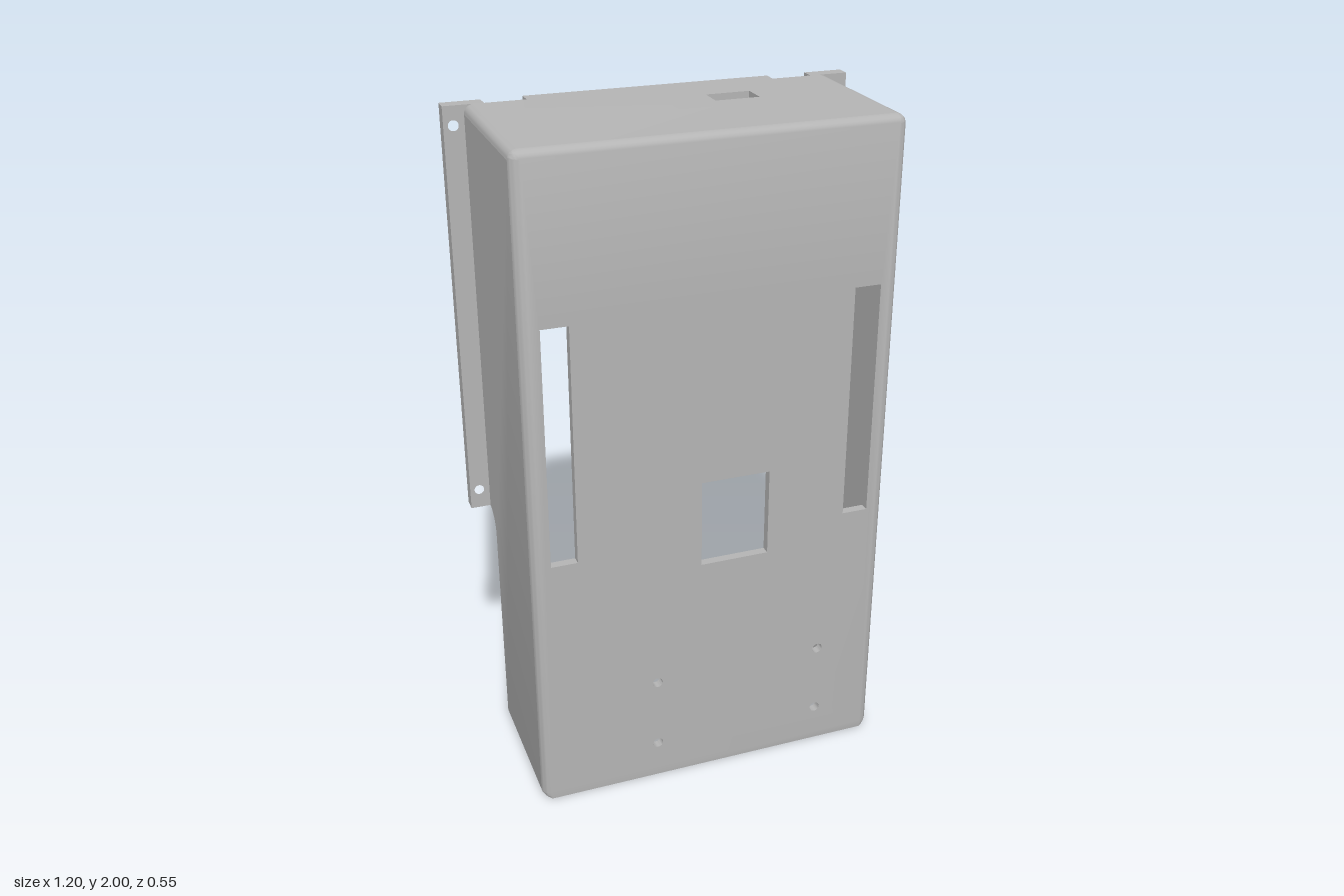
import * as THREE from 'three';
import { toCreasedNormals } from 'three/addons/utils/BufferGeometryUtils.js';

const W = 0.5425;   // half width of the box
const H = 2;        // height
const F = 0.275;    // front plane
const T = 0.027;    // wall thickness, also the outer edge radius
const BACK = -0.275;
const FLANGE_Z = -0.232;

const shapeOf = (pts) => new THREE.Shape(pts.map(([x, y]) => new THREE.Vector2(x, y)));

function rectHole(shape, x0, x1, y0, y1) {
  shape.holes.push(new THREE.Path([[x0, y0], [x1, y0], [x1, y1], [x0, y1]].map(([x, y]) => new THREE.Vector2(x, y))));
}

function roundHole(shape, x, y, r) {
  shape.holes.push(new THREE.Path().absarc(x, y, r, 0, Math.PI * 2, true));
}

// Plate of thickness T whose outer rim, beyond the given core, rolls over in a quarter round.
function roundedPlate(shape, { x = Infinity, yMin = -Infinity, yMax = Infinity }) {
  const geo = new THREE.ExtrudeGeometry(shape, { depth: T, steps: 6, bevelEnabled: false, curveSegments: 8 });
  const p = geo.attributes.position;
  for (let i = 0; i < p.count; i++) {
    const a = (p.getZ(i) / T) * Math.PI / 2;
    const cx = Math.max(-x, Math.min(x, p.getX(i)));
    const cy = Math.max(yMin, Math.min(yMax, p.getY(i)));
    const s = Math.cos(a);
    p.setXYZ(i, cx + (p.getX(i) - cx) * s, cy + (p.getY(i) - cy) * s, T * Math.sin(a));
  }
  return geo;
}

export function createModel() {
  const group = new THREE.Group();
  const grey = new THREE.MeshStandardMaterial({ color: 0xb4b4b4 });
  grey.name = 'grey';

  const add = (name, geo) => {
    const mesh = new THREE.Mesh(toCreasedNormals(geo, 0.6), grey);
    mesh.name = name;
    group.add(mesh);
  };

  // Front panel with rounded corners, two slots, a window and four screw holes
  const front = new THREE.Shape();
  front.moveTo(-W + T, 0);
  front.lineTo(W - T, 0);
  front.absarc(W - T, T, T, -Math.PI / 2, 0, false);
  front.absarc(W - T, H - T, T, 0, Math.PI / 2, false);
  front.absarc(-W + T, H - T, T, Math.PI / 2, Math.PI, false);
  front.absarc(-W + T, T, T, Math.PI, Math.PI * 1.5, false);
  rectHole(front, -0.487, -0.409, 0.815, 1.53);
  rectHole(front, 0.412, 0.49, 0.815, 1.53);
  rectHole(front, -0.037, 0.17, 0.73, 1.0);
  for (const x of [-0.175, 0.35]) for (const y of [0.12, 0.345]) roundHole(front, x, y, 0.016);
  add('frontPanel', roundedPlate(front, { x: W - T, yMax: H - T }).translate(0, 0, F - T));

  // Top panel with a port opening and a lip at the back
  const top = shapeOf([
    [-W, T - F], [W, T - F], [W, -FLANGE_Z], [0.367, -FLANGE_Z], [0.367, -BACK],
    [-0.367, -BACK], [-0.367, -FLANGE_Z], [-W, -FLANGE_Z],
  ]);
  rectHole(top, 0.115, 0.245, 0.04, 0.115);
  add('topPanel', roundedPlate(top, { x: W - T }).rotateX(-Math.PI / 2).translate(0, H - T, 0));

  for (const s of [1, -1]) {
    const side = s > 0 ? 'left' : 'right';

    // Side wall, cut back below with a curved step
    const pts = [[F - T, 0], [-0.17, 0]];
    for (let i = 0; i <= 8; i++) {
      const a = (i / 8) * Math.PI / 2;
      pts.push([-0.24 + 0.07 * Math.cos(a), 0.69 + 0.07 * Math.sin(a)]);
    }
    pts.push([-0.24, H - T], [F - T, H - T]);
    const wall = shapeOf(pts.map(([z, y]) => [-s * z, y]));
    add(side + 'Wall', roundedPlate(wall, { yMin: T })
      .rotateY(s * Math.PI / 2).translate(s * (W - T), 0, 0));

    // Mounting flange with two screw holes and a short tab at the top
    const inner = W - T;
    const flange = shapeOf([
      [inner, 0.76], [0.602, 0.76], [0.602, H], [0.486, H], [0.486, H - T], [inner, H - T],
    ].map(([x, y]) => [s * x, y]));
    for (const y of [0.82, 1.945]) roundHole(flange, s * 0.574, y, 0.015);
    add(side + 'Flange', new THREE.ExtrudeGeometry(flange, {
      depth: FLANGE_Z - BACK, bevelEnabled: false, curveSegments: 12,
    }).translate(0, 0, BACK));
  }
  return group;
}
